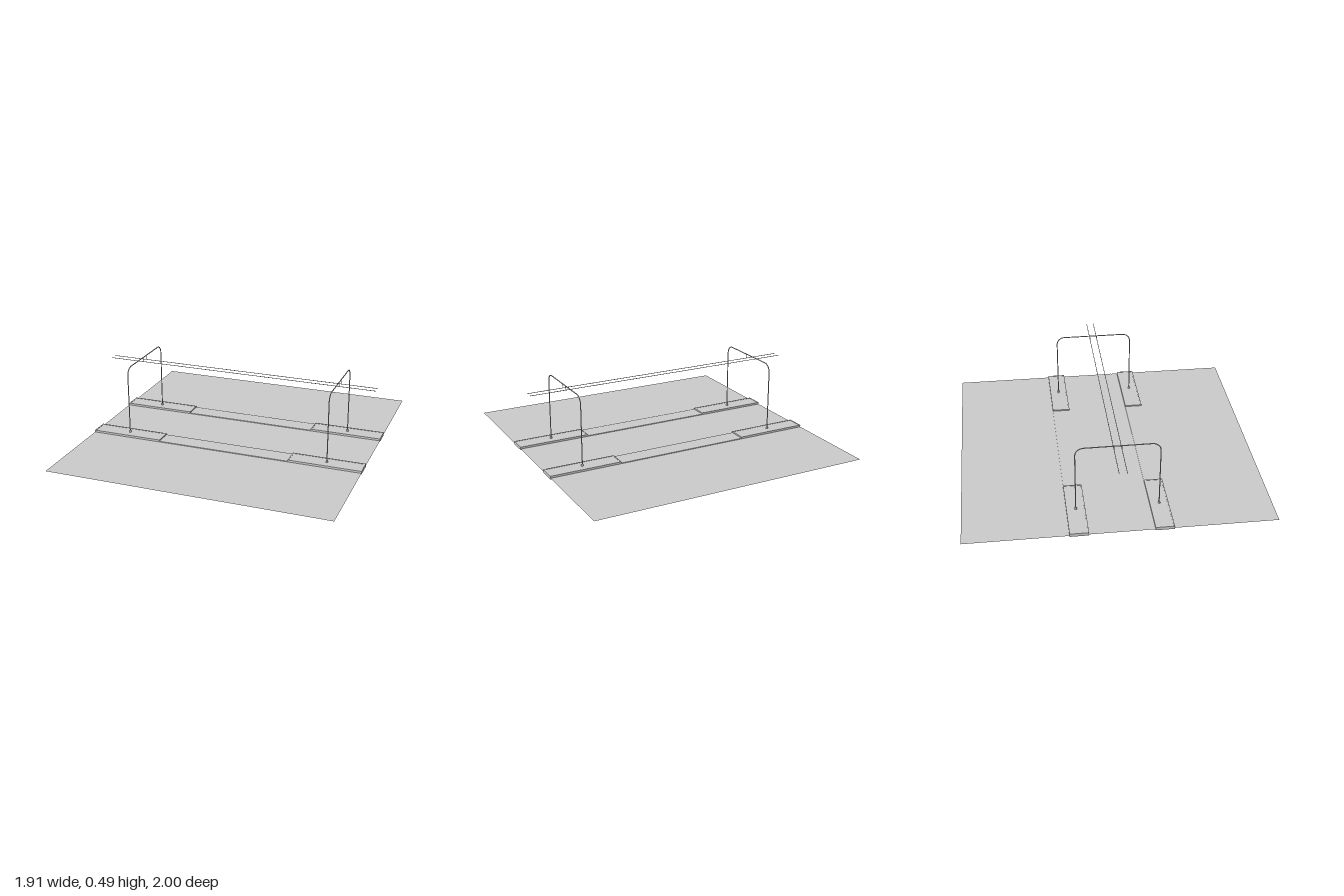
import * as THREE from 'three';

const HALF_X = 0.955;      // half length of the street
const GROUND = 0.008;      // road surface height
const material = new THREE.MeshStandardMaterial({ color: 0xcccccc, side: THREE.DoubleSide });

export function createModel() {
  const model = new THREE.Group();
  model.name = 'tramStreet';

  const add = (name, geometry, x, y, z) => {
    const mesh = new THREE.Mesh(geometry, material);
    mesh.name = name;
    mesh.position.set(x, y, z);
    model.add(mesh);
    return mesh;
  };
  const box = (name, w, h, d, x, bottom, z) =>
    add(name, new THREE.BoxGeometry(w, h, d), x, bottom + h / 2, z);
  const flat = (name, w, d, x, y, z) =>
    add(name, new THREE.PlaneGeometry(w, d).rotateX(-Math.PI / 2), x, y, z);

  // Road surface
  flat('road', 2 * HALF_X, 2, 0, GROUND, 0);

  // Four rails of the two tracks
  for (const z of [-0.16, -0.05, 0.05, 0.16])
    flat('rail', 2 * HALF_X, 0.008, 0, GROUND + 0.0015, z);

  // Platform curb: rectangular frame around a slightly lower floor
  const length = 0.495, width = 0.122, rim = 0.007;
  const rect = (path, w, d) => path.moveTo(-w / 2, -d / 2).lineTo(w / 2, -d / 2)
    .lineTo(w / 2, d / 2).lineTo(-w / 2, d / 2).closePath();
  const frame = rect(new THREE.Shape(), length, width);
  frame.holes.push(rect(new THREE.Path(), length - 2 * rim, width - 2 * rim));
  const curb = new THREE.ExtrudeGeometry(frame, { depth: 0.022, bevelEnabled: false })
    .rotateX(-Math.PI / 2);

  for (const sz of [-1, 1]) {
    // Low median strip joining the platforms
    box('medianStrip', 0.92, 0.013, width, 0, 0, sz * 0.27);

    for (const sx of [-1, 1]) {
      const x = sx * (HALF_X - length / 2);
      add('platformCurb', curb, x, 0, sz * 0.27);
      box('platformFloor', length - 2 * rim, 0.02, width - 2 * rim, x, 0, sz * 0.27);
      add('poleBase', new THREE.CylinderGeometry(0.007, 0.008, 0.012, 12),
        sx * 0.71, 0.026, sz * 0.27);
    }

    // Kerb lines and dashed lane line
    for (const z of [0.35, 0.98])
      flat('kerbLine', 2 * HALF_X, 0.006, 0, GROUND + 0.001, sz * z);
    for (const x of [-0.84, -0.56, -0.28, 0.28, 0.56, 0.84])
      flat('laneDash', 0.15, 0.006, x, GROUND + 0.001, sz * 0.66);

    // Crosswalk bars
    for (let i = 0; i < 11; i++)
      flat('crosswalkBar', 0.13, 0.025, 0, GROUND + 0.001, sz * (0.4 + i * 0.053));
  }

  // Arched wire supports spanning both platforms
  const top = 0.49, bend = 0.055, half = 0.27;
  const v = (y, z) => new THREE.Vector3(0, y, z);
  const arch = new THREE.CurvePath();
  const corner = (s) => {
    const points = [];
    for (let i = 0; i <= 8; i++) {
      const a = (i / 8) * Math.PI / 2;
      points.push(v(top - bend + bend * Math.sin(a), s * (half - bend + bend * Math.cos(a))));
    }
    return points;
  };
  const points = [v(0.02, half), ...corner(1), ...corner(-1).reverse(), v(0.02, -half)];
  for (let i = 1; i < points.length; i++)
    arch.add(new THREE.LineCurve3(points[i - 1], points[i]));
  const archGeometry = new THREE.TubeGeometry(arch, 240, 0.0035, 8, false);

  for (const x of [-0.71, 0.71]) {
    add('wireSupportArch', archGeometry, x, 0, 0);
    for (const z of [-0.025, 0.025])
      add('wireHanger', new THREE.CylinderGeometry(0.0015, 0.0015, 0.03, 6), x, 0.475, z);
  }

  // Overhead wires
  for (const z of [-0.025, 0.025])
    add('overheadWire', new THREE.CylinderGeometry(0.002, 0.002, 2 * HALF_X, 6)
      .rotateZ(Math.PI / 2), 0, 0.46, z);

  return model;
}
